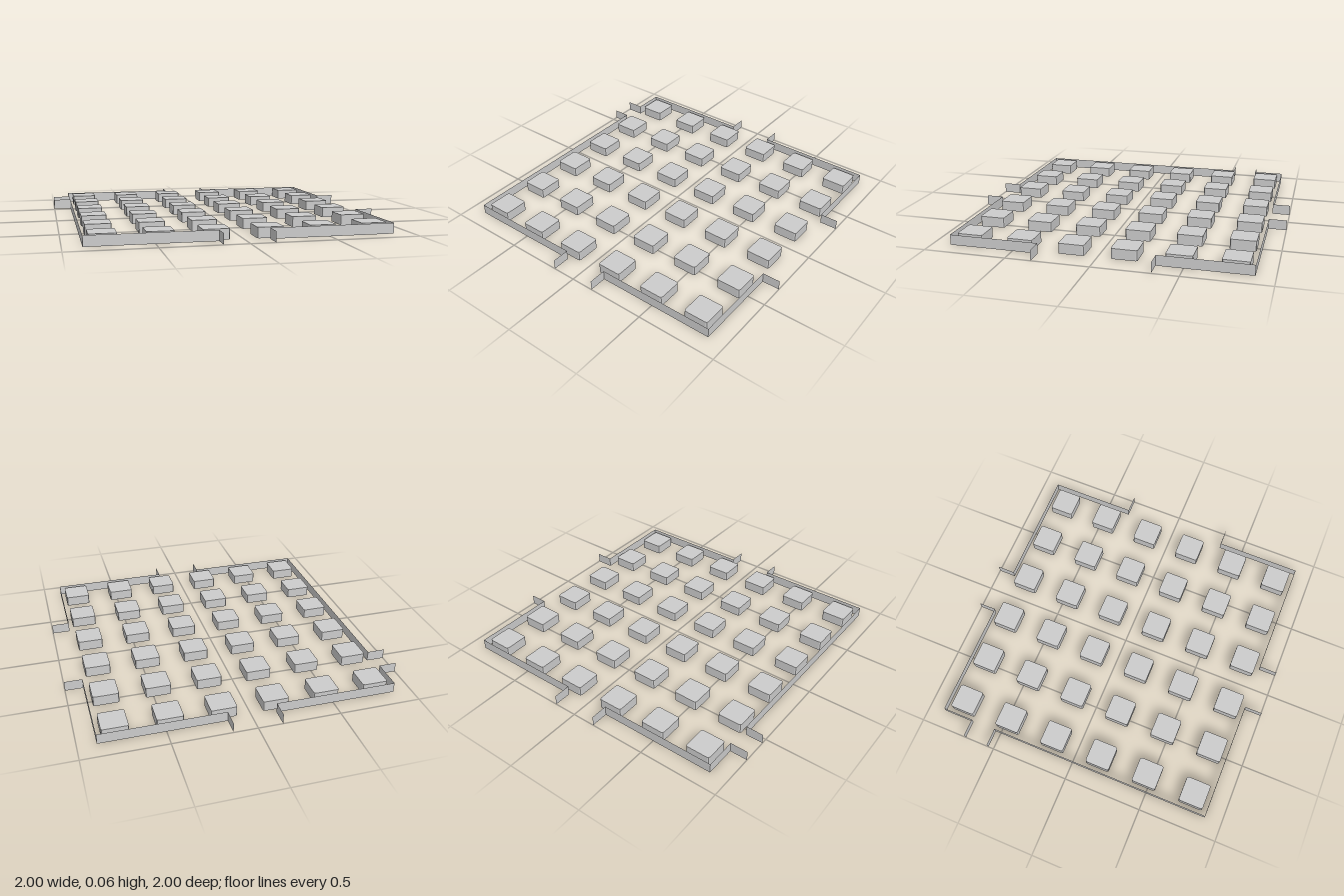
import * as THREE from 'three';

const H = 0.063;      // common height
const EDGE = 0.89;    // perimeter wall distance from centre
const OUT = 1.0;      // outer end of the entrance tabs

const blockMat = new THREE.MeshStandardMaterial({ color: 0xcccccc, flatShading: true });
const wallMat = new THREE.MeshStandardMaterial({ color: 0xcccccc, flatShading: true, side: THREE.DoubleSide });

// Square block with small clipped corners, standing on the ground
function blockGeometry(half, cut) {
  const s = new THREE.Shape();
  const a = half, b = half - cut, m = half - cut * 0.3;
  const corner = [[a, b], [m, m], [b, a]];
  const pts = [];
  for (let i = 0; i < 4; i++) {
    for (const [x, y] of corner) {
      pts.push(new THREE.Vector2(x, y).rotateAround(new THREE.Vector2(), i * Math.PI / 2));
    }
  }
  s.setFromPoints(pts);
  return new THREE.ExtrudeGeometry(s, { depth: H, bevelEnabled: false }).rotateX(-Math.PI / 2);
}

// Thin upright sheet between two ground points
function sheet(name, x0, z0, x1, z1) {
  const geo = new THREE.PlaneGeometry(Math.hypot(x1 - x0, z1 - z0), H);
  const mesh = new THREE.Mesh(geo, wallMat);
  mesh.name = name;
  mesh.position.set((x0 + x1) / 2, H / 2, (z0 + z1) / 2);
  mesh.rotation.y = -Math.atan2(z1 - z0, x1 - x0);
  return mesh;
}

// One side of the perimeter with an entrance gap from g0 to g1
function wallSide(name, alongX, sign, g0, g1) {
  const g = new THREE.Group();
  g.name = name;
  const add = (n, u0, v0, u1, v1) =>
    g.add(alongX ? sheet(n, u0, v0, u1, v1) : sheet(n, v0, u0, v1, u1));
  add('wall', -EDGE, sign * EDGE, g0, sign * EDGE);
  add('wall', g1, sign * EDGE, EDGE, sign * EDGE);
  for (const u of [g0, g1]) add('entranceTab', u, sign * EDGE, u, sign * OUT);
  return g;
}

export function createModel() {
  const model = new THREE.Group();
  model.name = 'blockGrid';

  // Six by six grid of blocks
  const blocks = new THREE.Group();
  blocks.name = 'blocks';
  const geo = blockGeometry(0.078, 0.012);
  const pitch = 0.3125;
  for (let i = 0; i < 6; i++) {
    for (let j = 0; j < 6; j++) {
      const block = new THREE.Mesh(geo, blockMat);
      block.name = 'block';
      block.position.set((i - 2.5) * pitch, 0, (j - 2.5) * pitch);
      blocks.add(block);
    }
  }
  model.add(blocks);

  // Perimeter walls, each with an entrance
  model.add(
    wallSide('frontWall', true, 1, -0.148, 0.145),
    wallSide('backWall', true, -1, -0.148, 0.145),
    wallSide('leftWall', false, 1, -0.345, 0.345),
    wallSide('rightWall', false, -1, -0.695, -0.535)
  );
  return model;
}
